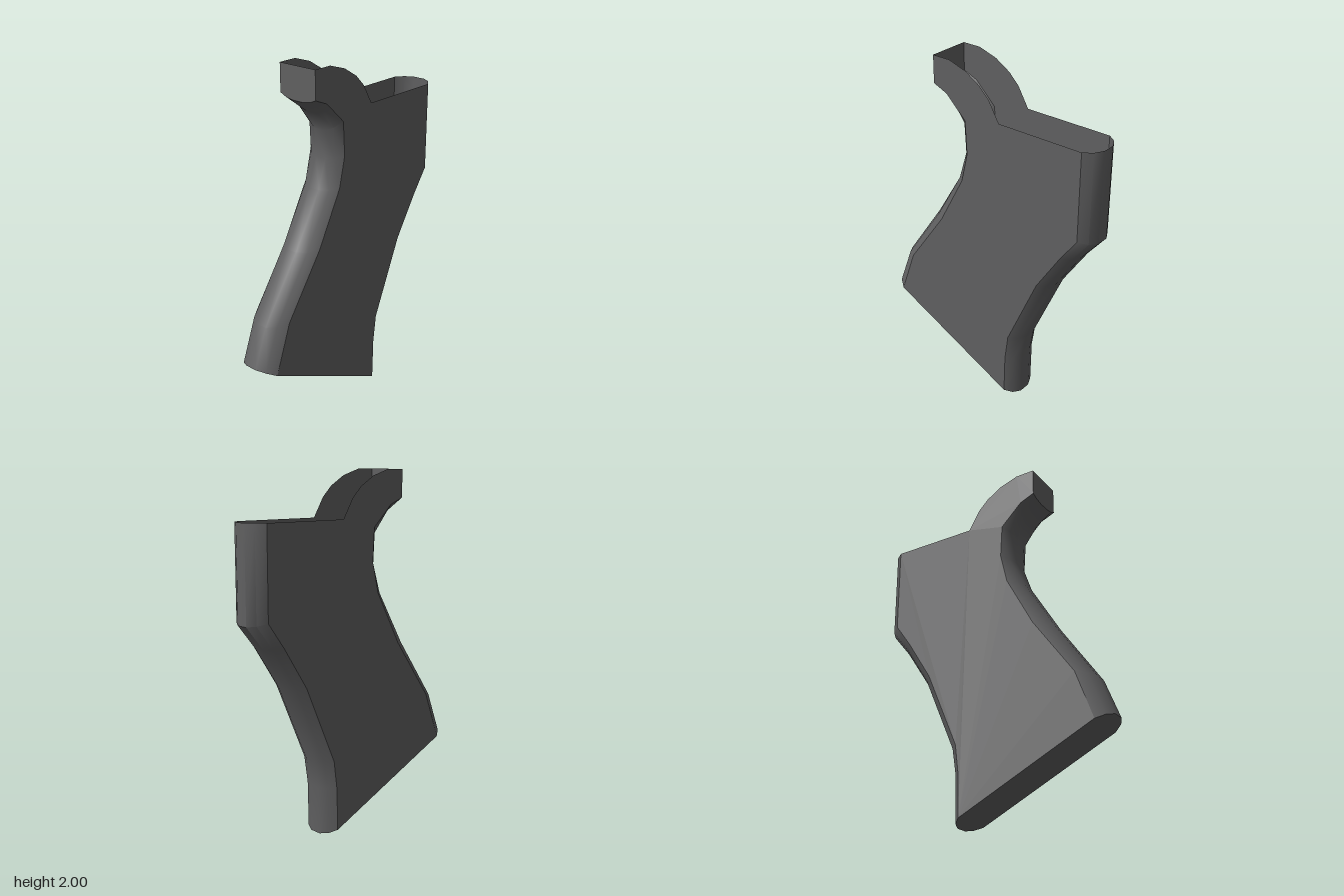
import * as THREE from 'three';
import { toCreasedNormals } from 'three/addons/utils/BufferGeometryUtils.js';

const HALF = 0.12; // half thickness of the grip

// Stations from bottom to top: [outer x, outer y, inner x, inner y]
const REAR = [
  [-0.705, 0.45, -0.63, 0.414], [-0.62, 0.67, -0.53, 0.69], [-0.38, 1.02, -0.29, 1.03],
  [-0.2, 1.32, -0.13, 1.33], [-0.145, 1.48, -0.09, 1.5], [-0.155, 1.64, -0.1, 1.69],
  [-0.21, 1.74, -0.225, 1.81], [-0.31, 1.82, -0.31, 1.845],
];
const FRONT = [
  [0.23, 0, 0.17, 0.029], [0.235, 0.27, 0.175, 0.27], [0.26, 0.42, 0.195, 0.43],
  [0.45, 0.86, 0.385, 0.87], [0.6, 1.09, 0.53, 1.1], [0.705, 1.22, 0.63, 1.24],
  [0.705, 1.74, 0.63, 1.74],
];
// Open upper rim, from the front back to the tang tip
const RIM = [[0.125, 1.74], [0.06, 1.85], [0, 1.91], [-0.09, 1.965], [-0.2, 2], [-0.31, 2]];

// Bevelled row of points across the thickness at one station
function bevelRow([ox, oy, ix, iy]) {
  return [[-HALF, 1], [-0.085, 0.36], [-0.035, 0], [0.035, 0], [0.085, 0.36], [HALF, 1]]
    .map(([z, t]) => [ox + (ix - ox) * t, oy + (iy - oy) * t, z]);
}

// Surface through successive rows of points
function loft(rows, flip = false) {
  const n = rows[0].length, index = [];
  for (let i = 0; i < rows.length - 1; i++) {
    for (let j = 0; j < n - 1; j++) {
      const a = i * n + j, b = a + n, c = a + 1, d = b + 1;
      index.push(...(flip ? [a, c, b, b, c, d] : [a, b, c, c, b, d]));
    }
  }
  const geo = new THREE.BufferGeometry();
  geo.setAttribute('position', new THREE.Float32BufferAttribute(rows.flat(2), 3));
  geo.setIndex(index);
  return toCreasedNormals(geo, 0.65);
}

export function createModel() {
  const group = new THREE.Group();
  group.name = 'pistolGrip';
  const material = new THREE.MeshStandardMaterial({ color: 0x606061, side: THREE.DoubleSide });
  material.name = 'dark grey';
  const add = (name, geometry) => {
    const mesh = new THREE.Mesh(geometry, material);
    mesh.name = name;
    group.add(mesh);
    return mesh;
  };

  // Rounded front and rear straps
  const rear = REAR.map(bevelRow), front = FRONT.map(bevelRow);
  add('rearStrap', loft(rear, true));
  add('frontStrap', loft(front));

  // Sloping floor and the flat end of the tang; the top stays open
  add('floor', loft([rear[0], front[0]]));
  const tip = rear[rear.length - 1];
  add('tangEnd', loft([tip, tip.map(([x, , z]) => [x, 2, z])], true));

  // Flat side panels
  const outline = [
    ...FRONT.map((s) => [s[2], s[3]]), ...RIM, ...REAR.map((s) => [s[2], s[3]]).reverse(),
  ].map(([x, y]) => new THREE.Vector2(x, y));
  const panel = new THREE.ShapeGeometry(new THREE.Shape(outline));
  add('frontSidePanel', panel).position.z = HALF;

  // Opposite panel, mirrored in z with its faces turned outward
  const back = panel.clone();
  const idx = back.index.array;
  for (let i = 0; i < idx.length; i += 3) [idx[i], idx[i + 1]] = [idx[i + 1], idx[i]];
  back.computeVertexNormals();
  add('backSidePanel', back).position.z = -HALF;

  return group;
}
